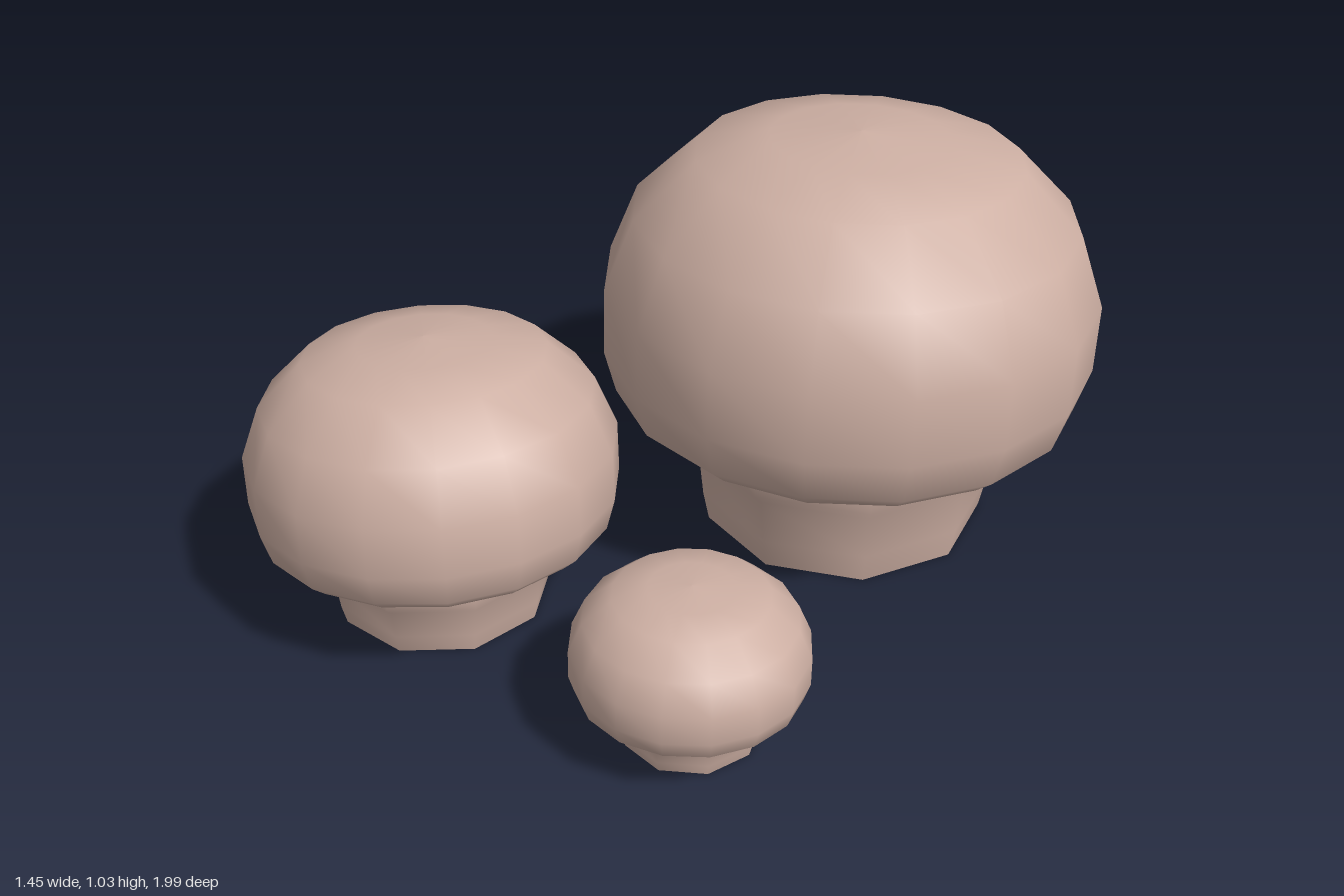
import * as THREE from 'three';

const skin = new THREE.MeshStandardMaterial({ color: 0xcdafa3 });
skin.name = 'pinkish beige';

// Cap profile from the underside to the crown: [radius, height], both as fractions
const CAP = [
  [0.55, 0.12], [0.68, 0.05], [0.77, 0], [0.87, 0.02], [0.95, 0.08], [1, 0.23],
  [1, 0.47], [0.89, 0.715], [0.65, 0.915], [0.36, 0.975], [0, 1],
];

// Stem profile from the ground up, with a wider collar under the cap
const STEM = [
  [0.6, 0], [0.625, 0.25], [0.645, 0.64], [0.69, 0.74], [0.69, 1.0], [0.66, 1.2],
];

function lathe(name, profile, sides, start, rScale, yScale) {
  const points = profile.map(([r, y]) => new THREE.Vector2(r * rScale, y * yScale));
  const mesh = new THREE.Mesh(new THREE.LatheGeometry(points, sides, start), skin);
  mesh.name = name;
  return mesh;
}

function mushroom({ name, x, z, radius, capBase, capTop, tiltX, tiltZ, turn }) {
  const group = new THREE.Group();
  group.name = name;
  group.position.set(x, 0, z);

  // Stem and its flat foot
  group.add(lathe('stem', STEM, 9, turn, radius, capBase));
  group.add(lathe('stemFoot', [[0, 0], [STEM[0][0], 0]], 9, turn, radius, 1));

  // Domed cap, leaning slightly about its middle
  const height = capTop - capBase;
  const cap = lathe('cap', CAP, 16, Math.PI / 16, radius * 1.015, height);
  cap.geometry.translate(0, -height / 2, 0);
  cap.position.y = capBase + height / 2;
  cap.rotation.set(tiltX, 0, tiltZ);
  group.add(cap);
  return group;
}

export function createModel() {
  const model = new THREE.Group();
  model.name = 'mushroomCluster';
  model.add(
    mushroom({
      name: 'largeMushroom', x: 0.1, z: -0.405, radius: 0.593,
      capBase: 0.315, capTop: 1.03, tiltX: -0.04, tiltZ: 0, turn: 0.2,
    }),
    mushroom({
      name: 'mediumMushroom', x: -0.305, z: 0.57, radius: 0.425,
      capBase: 0.195, capTop: 0.69, tiltX: -0.06, tiltZ: 0.09, turn: 0.5,
    }),
    mushroom({
      name: 'smallMushroom', x: 0.47, z: 0.48, radius: 0.26,
      capBase: 0.11, capTop: 0.385, tiltX: -0.04, tiltZ: 0.01, turn: 0.35,
    }),
  );
  return model;
}
